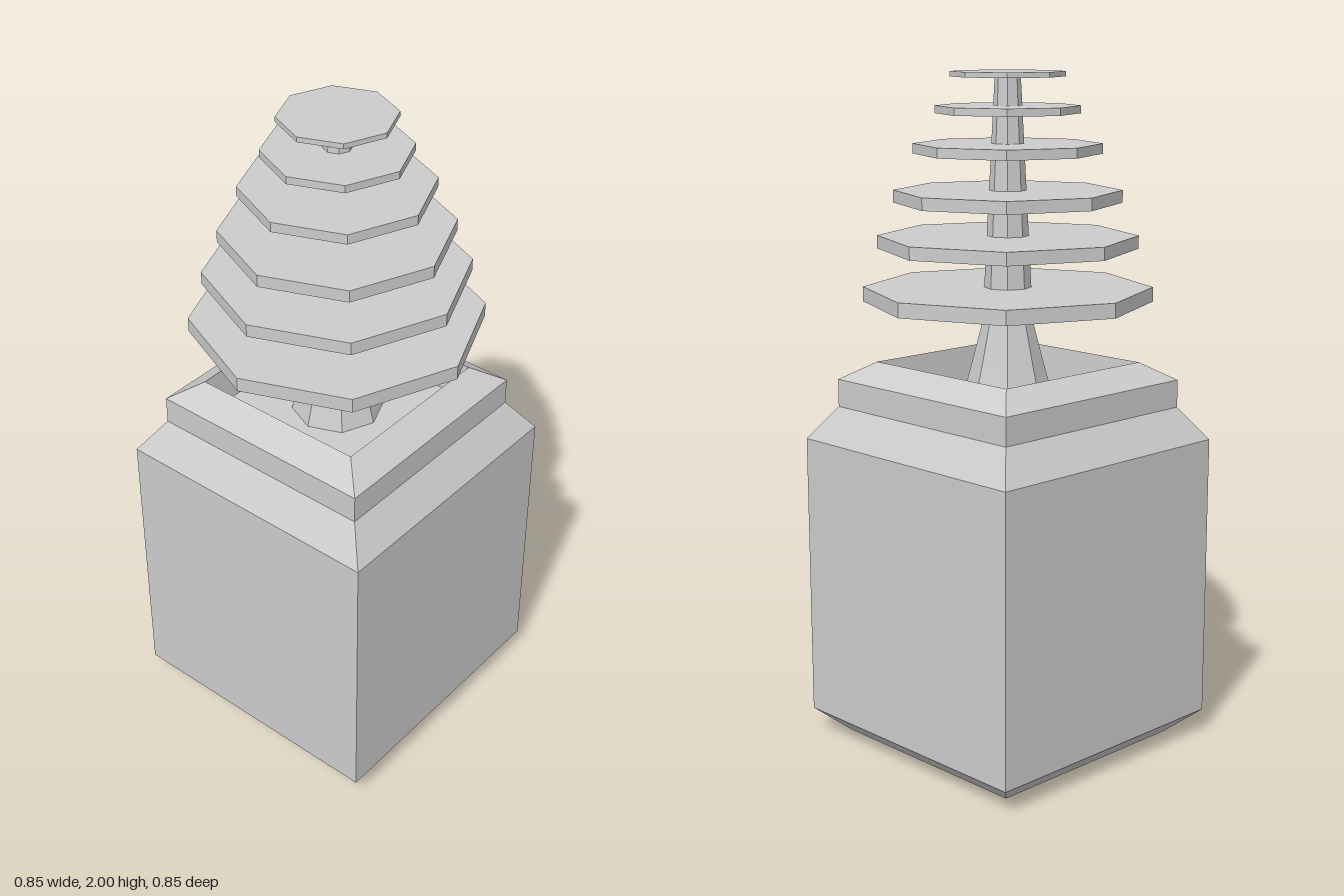
import * as THREE from 'three';

const material = new THREE.MeshStandardMaterial({ color: 0xcccccc, flatShading: true });

// Revolve a [radius, height] profile into a faceted solid
function facetedSolid(name, profile, sides, phiStart = 0, scale = 1) {
  const points = profile.map(([r, y]) => new THREE.Vector2(r * scale, y));
  const mesh = new THREE.Mesh(new THREE.LatheGeometry(points, sides, phiStart), material);
  mesh.name = name;
  return mesh;
}

export function createModel() {
  const model = new THREE.Group();
  model.name = 'pottedTree';

  // Square pot with chamfered foot, stepped neck, bevelled rim and sunken soil
  model.add(facetedSolid('pot', [
    [0, 0], [0.34, 0], [0.423, 0.073], [0.423, 0.927], [0.354, 1.025],
    [0.354, 1.107], [0.272, 1.16], [0.265, 1.05], [0, 1.05],
  ], 4, Math.PI / 4, Math.SQRT2));

  // Tapered trunk flaring at the root
  model.add(facetedSolid('trunk', [
    [0.135, 1.05], [0.105, 1.16], [0.074, 1.28], [0.037, 1.99],
  ], 8));

  // Octagonal foliage tiers: radius, bottom, top
  const tiers = [
    [0.423, 1.34, 1.383],
    [0.379, 1.495, 1.533],
    [0.331, 1.628, 1.664],
    [0.273, 1.768, 1.797],
    [0.209, 1.882, 1.904],
    [0.165, 1.985, 2.0],
  ];
  const foliage = new THREE.Group();
  foliage.name = 'foliage';
  tiers.forEach(([r, bottom, top], i) => {
    const tier = new THREE.Mesh(new THREE.CylinderGeometry(r, r, top - bottom, 8), material);
    tier.name = `foliageTier${i + 1}`;
    tier.position.y = (bottom + top) / 2;
    foliage.add(tier);
  });
  model.add(foliage);

  return model;
}
